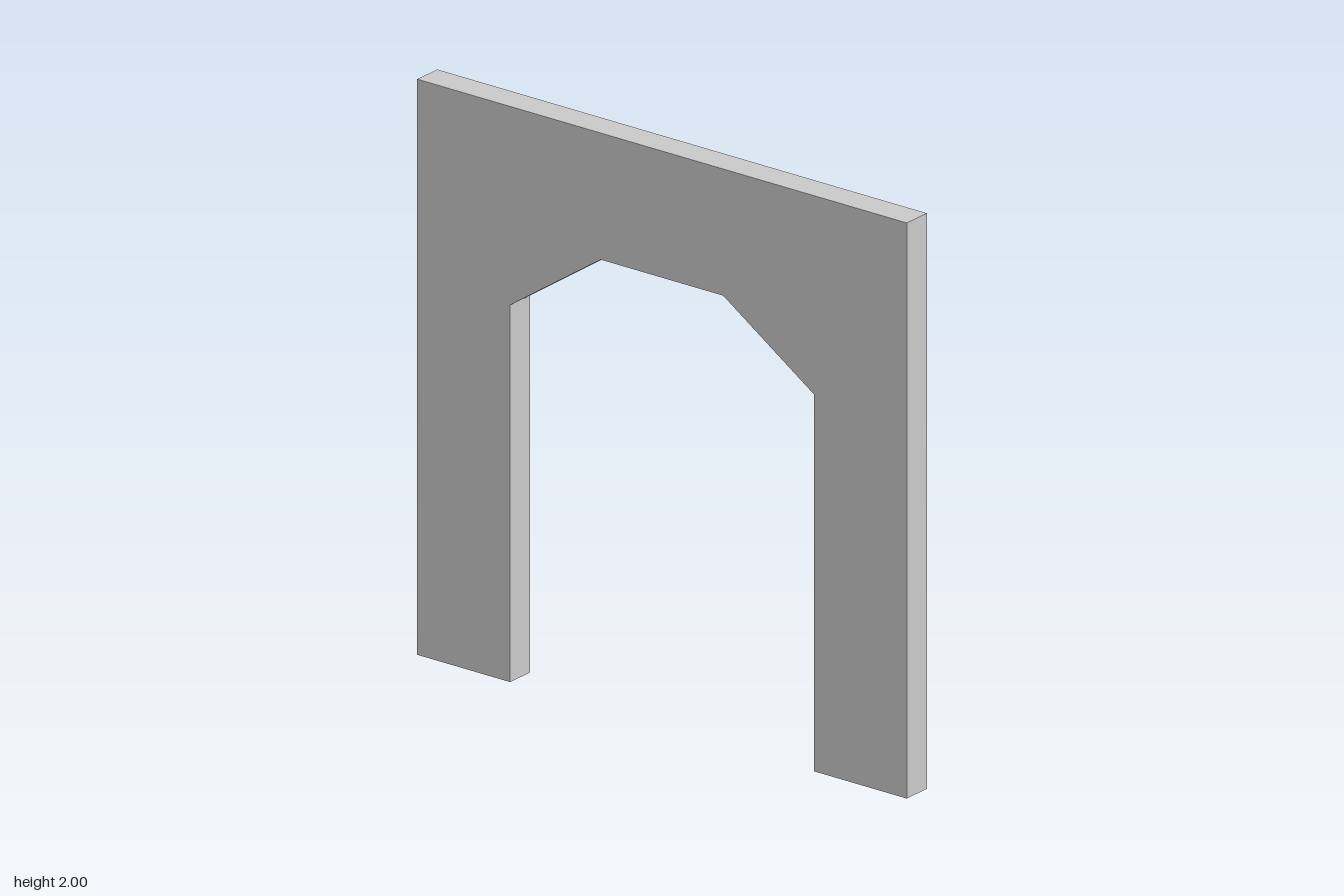
import * as THREE from 'three';

const DEPTH = 0.105;

// Right half of the wall outline, from the top corner round to the arch crown
const half = [[1, 2], [1, 0], [0.62, 0], [0.62, 1.31], [0.25, 1.56]];

export function createModel() {
  const group = new THREE.Group();
  group.name = 'archway';

  // Mirror the half outline to close the wall around the doorway
  const mirrored = half.map(([x, y]) => [-x, y]).reverse();
  const outline = [...half, ...mirrored].map(([x, y]) => new THREE.Vector2(x, y));

  const geometry = new THREE.ExtrudeGeometry(new THREE.Shape(outline), {
    depth: DEPTH,
    bevelEnabled: false,
  });
  geometry.translate(0, 0, -DEPTH / 2);

  const wall = new THREE.Mesh(
    geometry,
    new THREE.MeshStandardMaterial({ color: 0xcccccc, flatShading: true })
  );
  wall.name = 'archWall';
  group.add(wall);
  return group;
}
